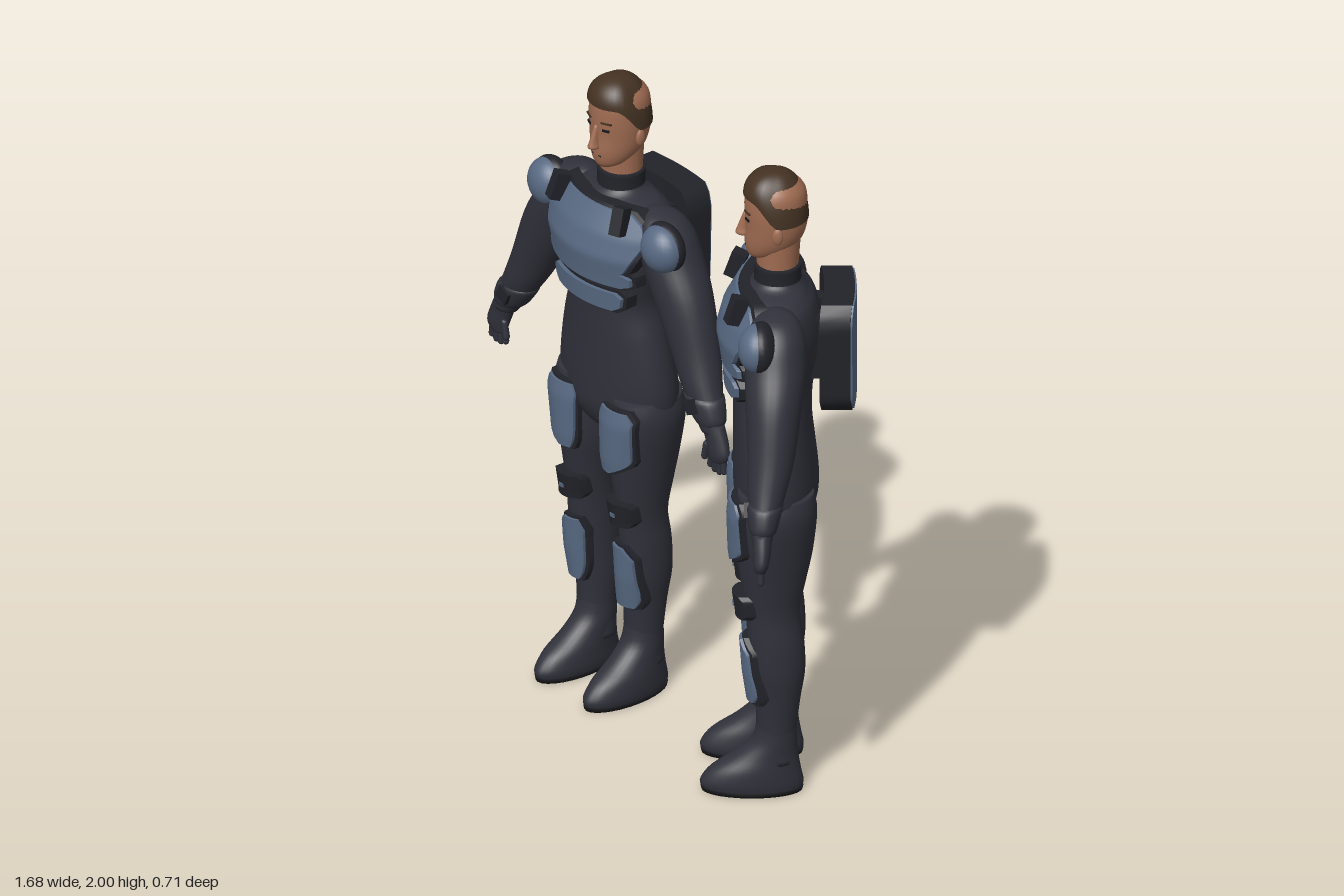
import * as THREE from 'three';
import { toCreasedNormals, mergeVertices } from 'three/addons/utils/BufferGeometryUtils.js';

const mat = (name, color) => Object.assign(new THREE.MeshStandardMaterial({ color }), { name });
const suit = mat('charcoal suit', 0x30313a);
const trim = mat('dark trim', 0x222329);
const armor = mat('blue grey armor', 0x586982);
const skin = mat('skin', 0xa06c52);
const hair = mat('brown hair', 0x443223);
const black = mat('black', 0x17171a);

const add = (parent, name, geo, m, x = 0, y = 0, z = 0) => {
  const mesh = new THREE.Mesh(geo, m);
  mesh.name = name;
  mesh.position.set(x, y, z);
  parent.add(mesh);
  return mesh;
};

function makeGeometry(pos, idx) {
  const g = new THREE.BufferGeometry();
  g.setAttribute('position', new THREE.Float32BufferAttribute(pos, 3));
  g.setIndex(idx);
  g.computeVertexNormals();
  return g;
}

// Smooth body from horizontal oval sections [x, y, z, rx, rz], listed bottom to top
function loft(rows, side = 1, seg = 28, sub = 4) {
  const rings = [];
  for (let i = 0; i < rows.length - 1; i++) {
    const [a, b, c, d] = [i - 1, i, i + 1, i + 2].map(k => rows[Math.min(Math.max(k, 0), rows.length - 1)]);
    for (let s = 0; s < sub; s++) {
      const t = s / sub;
      rings.push(b.map((_, k) => b[k] + 0.5 * t * (c[k] - a[k] + t * (2 * a[k] - 5 * b[k] + 4 * c[k] - d[k]
        + t * (3 * (b[k] - c[k]) + d[k] - a[k])))));
    }
  }
  rings.push(rows[rows.length - 1]);
  const cap = r => [r[0], r[1], r[2], 0, 0];
  const all = [cap(rings[0]), ...rings, cap(rings[rings.length - 1])];
  const pos = [], idx = [];
  all.forEach(([x, y, z, rx, rz], j) => {
    for (let i = 0; i < seg; i++) {
      const a = i / seg * Math.PI * 2;
      pos.push(side * x + rx * Math.sin(a), y, z + rz * Math.cos(a));
      if (j === all.length - 1) continue;
      const p = j * seg + i, q = j * seg + (i + 1) % seg;
      idx.push(p, q, q + seg, p, q + seg, p + seg);
    }
  });
  return makeGeometry(pos, idx);
}

// Linear lookup in rows keyed by column k
function sample(rows, y, k) {
  let i = 0;
  while (i < rows.length - 2 && rows[i + 1][k] < y) i++;
  const t = THREE.MathUtils.clamp((y - rows[i][k]) / (rows[i + 1][k] - rows[i][k]), 0, 1);
  return rows[i].map((v, n) => v + (rows[i + 1][n] - v) * t);
}

// Curved armor plate: rows [y, x0, x1] bottom to top, laid on the surface zAt(x, y)
function plate(rows, zAt, thick, grow = 0, side = 1) {
  const nu = 14, nv = 16, pos = [], idx = [];
  const lo = rows[0][0], hi = rows[rows.length - 1][0];
  const mid = (lo + hi) / 2, stretch = 1 + 2 * grow / (hi - lo);
  for (const back of [false, true]) {
    const base = pos.length / 3;
    for (let j = -1; j <= nv + 1; j++) for (let i = -1; i <= nu + 1; i++) {
      const v = Math.min(Math.max(j, 0), nv) / nv, u = Math.min(Math.max(i, 0), nu) / nu;
      const y0 = lo + (hi - lo) * v, r = sample(rows, y0, 0);
      const x = r[1] - grow + (r[2] - r[1] + 2 * grow) * (side > 0 ? u : 1 - u);
      const border = back || i < 0 || j < 0 || i > nu || j > nv;
      pos.push(side * x, mid + (y0 - mid) * stretch, zAt(x, y0) - (border ? thick : 0));
      if (i > nu || j > nv) continue;
      const w = nu + 3, p = base + (j + 1) * w + i + 1;
      if (back) idx.push(p, p + w + 1, p + 1, p, p + w, p + w + 1);
      else idx.push(p, p + 1, p + w + 1, p, p + w + 1, p + w);
    }
  }
  return toCreasedNormals(makeGeometry(pos, idx), 0.7);
}

const TORSO = [[0, .84, -.04, .03, .04], [0, .87, -.04, .11, .09], [0, .93, -.04, .205, .12], [0, 1, -.04, .226, .125],
  [0, 1.1, -.035, .215, .12], [0, 1.2, -.03, .192, .115], [0, 1.3, -.03, .166, .118], [0, 1.4, -.03, .19, .138],
  [0, 1.5, -.035, .212, .14], [0, 1.58, -.04, .2, .118], [0, 1.615, -.042, .15, .092], [0, 1.635, -.045, .085, .075], [0, 1.66, -.045, .065, .06]];
const LEG = [[.108, .1, -.035, .06, .066], [.108, .18, -.04, .056, .058], [.11, .3, -.045, .062, .066], [.117, .4, -.045, .067, .08],
  [.118, .5, -.04, .068, .082], [.116, .6, -.03, .066, .08], [.115, .7, -.032, .08, .096], [.112, .8, -.036, .1, .112],
  [.118, .93, -.04, .114, .12], [.118, 1, -.04, .1, .11]];
const ARM = [[.475, 1.03, 0, .04, .03], [.45, 1.08, -.004, .056, .04], [.405, 1.16, -.015, .07, .058], [.362, 1.25, -.027, .082, .07],
  [.292, 1.4, -.035, .102, .084], [.238, 1.5, -.04, .1, .09], [.213, 1.57, -.04, .085, .082], [.19, 1.612, -.04, .06, .055], [.17, 1.628, -.04, .012, .012]];
const HAND = [[.503, .945, .004, .034, .018], [.508, .97, .003, .042, .024], [.495, 1.01, 0, .043, .027], [.474, 1.06, 0, .04, .03]];
const BOOT = [[.112, .012, .03, .064, .148], [.112, .035, .03, .067, .15], [.112, .075, .018, .065, .13],
  [.11, .12, -.012, .06, .093], [.108, .17, -.036, .058, .066], [.108, .23, -.042, .056, .058]];
const HEAD = [[0, 1.718, .005, .025, .03], [0, 1.735, -.008, .052, .054], [0, 1.77, -.028, .073, .08], [0, 1.82, -.04, .085, .09],
  [0, 1.88, -.04, .089, .092], [0, 1.94, -.04, .083, .086], [0, 1.98, -.04, .05, .05]];

const CHEST = [[1.425, -.14, .14], [1.445, -.165, .165], [1.48, -.185, .185], [1.54, -.212, .212], [1.59, -.195, .195], [1.62, -.15, .15]];
const RIBS = [[1.39, -.15, .15], [1.4, -.18, .18], [1.425, -.18, .18], [1.435, -.16, .16]];
const BELLY = [[1.305, -.12, .12], [1.32, -.145, .145], [1.35, -.15, .15], [1.365, -.13, .13]];
const THIGH = [[.765, .075, .115], [.785, .066, .152], [.81, .062, .183], [.95, .058, .19], [.975, .072, .172]];
const KNEE = [[.585, .068, .16], [.6, .06, .17], [.65, .06, .17], [.662, .068, .16]];
const SHIN = [[.305, .088, .152], [.325, .078, .163], [.36, .072, .165], [.47, .071, .16], [.508, .084, .132]];
const PACK = [[1.262, -.115, .115], [1.3, -.148, .148], [1.55, -.155, .155], [1.595, -.14, .14], [1.612, -.12, .12]];

const chestCurve = [[1.3, .112], [1.36, .117], [1.42, .125], [1.48, .135], [1.55, .117], [1.63, .072]];
const chestZ = off => (x, y) => sample(chestCurve, y, 0)[1] - 1.6 * x * x + off;
const legZ = off => (x, y) => {
  const [cx, , cz, rx, rz] = sample(LEG, y, 1);
  return cz + rz * Math.sqrt(1 - Math.min(.9, Math.abs(x - cx) / rx) ** 2) + off;
};

function addHead(f) {
  const head = new THREE.Group();
  head.name = 'head';
  f.add(head);
  add(head, 'neck', loft([[0, 1.62, -.045, .066, .062], [0, 1.7, -.045, .066, .062], [0, 1.79, -.045, .068, .068]]), skin);
  add(head, 'face', loft(HEAD), skin);
  // Hair cap with a higher hairline at the front
  const cap = new THREE.SphereGeometry(1, 36, 14, 0, Math.PI * 2, 0, Math.PI / 2);
  const p = cap.attributes.position;
  for (let i = 0; i < p.count; i++) {
    const v = new THREE.Vector3().fromBufferAttribute(p, i), r = Math.hypot(v.x, v.z) || 1;
    const edge = 1.848 + .075 * THREE.MathUtils.smoothstep(v.z / r, -.1, .75);
    const k = .096 * r ** .85 / r;
    p.setXYZ(i, v.x * k, edge + (2 - edge) * v.y, -.04 + v.z * k);
  }
  cap.deleteAttribute('uv');
  cap.deleteAttribute('normal');
  const hairCap = mergeVertices(cap);
  hairCap.computeVertexNormals();
  add(head, 'hair', hairCap, hair);
  add(head, 'nose', loft([[0, 1.782, .05, .008, .01], [0, 1.79, .056, .016, .022], [0, 1.81, .055, .011, .018], [0, 1.86, .046, .007, .008]], 1, 12), skin);
  add(head, 'mouth', new THREE.BoxGeometry(.042, .004, .008), trim, 0, 1.762, .046);
  for (const s of [-1, 1]) {
    add(head, 'ear', new THREE.SphereGeometry(1, 14, 10), skin, s * .089, 1.822, -.045).scale.set(.009, .027, .016);
    add(head, 'eye', new THREE.BoxGeometry(.022, .007, .008), black, s * .037, 1.852, .042).rotation.y = s * .4;
    add(head, 'eyebrow', new THREE.BoxGeometry(.034, .005, .009), hair, s * .038, 1.876, .042).rotation.y = s * .4;
  }
}

function addLimbs(f, s) {
  add(f, 'arm', loft(ARM, s), suit);
  add(f, 'hand', loft(HAND, s, 16), suit);
  add(f, 'gloveCuff', loft([[.462, 1.055, -.003, .05, .04], [.452, 1.075, -.004, .063, .046], [.428, 1.12, -.008, .071, .054], [.42, 1.133, -.01, .064, .05]], s, 20), suit);
  add(f, 'wristDevice', new THREE.BoxGeometry(.045, .045, .02), trim, s * .432, 1.105, .042).rotation.z = s * .45;
  // Fingers and thumb
  for (let i = 0; i < 4; i++) {
    const finger = add(f, 'finger', new THREE.CapsuleGeometry(.0105, .036, 3, 8), suit, s * (.532 - i * .019), .937 - (i % 3 ? .008 : 0), .004);
    finger.rotation.z = s * (.12 - i * .1);
  }
  add(f, 'thumb', new THREE.CapsuleGeometry(.011, .045, 3, 8), suit, s * .462, .965, .014).rotation.z = s * -.2;
  // Shoulder pad
  add(f, 'shoulderPadRim', new THREE.SphereGeometry(1, 24, 16), trim, s * .257, 1.545, .002).scale.set(.08, .081, .048);
  add(f, 'shoulderPad', new THREE.SphereGeometry(1, 24, 16), armor, s * .261, 1.547, .012).scale.set(.074, .075, .059);
  // Leg and boot
  add(f, 'leg', loft(LEG, s), suit);
  add(f, 'boot', loft(BOOT, s), suit);
  add(f, 'sole', loft([[.112, 0, .03, .063, .147], [.112, .014, .03, .066, .15]], s, 28, 1), black);
  // Leg armor
  for (const [name, rows] of [['thighPlate', THIGH], ['shinPlate', SHIN]]) {
    add(f, name + 'Rim', plate(rows, legZ(.016), .035, .007, s), trim);
    add(f, name, plate(rows, legZ(.025), .02, 0, s), armor);
  }
  add(f, 'kneePad', plate(KNEE, legZ(.03), .045, 0, s), trim);
  add(f, 'kneeMark', plate([[.616, .108, .126], [.628, .108, .126]], legZ(.034), .008, 0, s), armor);
  // Chest strap clip
  const clip = add(f, 'strapClip', new THREE.BoxGeometry(.038, .085, .045), trim, s * .141, 1.608, .075);
  clip.rotation.set(-.35, s * .3, s * .12);
}

function makeFigure() {
  const f = new THREE.Group();
  f.name = 'figure';
  add(f, 'torso', loft(TORSO, 1, 40), suit);
  add(f, 'collar', loft([[0, 1.62, -.045, .08, .077], [0, 1.64, -.045, .073, .07], [0, 1.696, -.045, .072, .069]]), trim);
  addHead(f);
  for (const [name, rows] of [['chestPlate', CHEST], ['ribPlate', RIBS], ['bellyPlate', BELLY]]) {
    add(f, name + 'Rim', plate(rows, chestZ(-.012), .04, .009), trim);
    add(f, name, plate(rows, chestZ(0), .02), armor);
  }
  // Backpack, built facing forward and turned around
  const pack = new THREE.Group();
  pack.name = 'backpack';
  pack.rotation.y = Math.PI;
  f.add(pack);
  const packZ = off => x => .27 - .6 * x * x + off;
  add(pack, 'packBody', plate(PACK, packZ(0), .09), trim);
  add(pack, 'packPanel', plate(PACK, packZ(.005), .008, -.004), armor);
  for (const s of [-1, 1]) {
    add(pack, 'packMount', new THREE.BoxGeometry(.05, .2, .06), trim, s * .06, 1.45, .165);
    addLimbs(f, s);
  }
  return f;
}

export function createModel() {
  const model = new THREE.Group();
  const first = makeFigure();
  first.position.x = -.295;
  const second = first.clone();
  second.position.x = .41;
  second.rotation.y = -.685;
  first.name = 'firstFigure';
  second.name = 'secondFigure';
  model.add(first, second);
  return model;
}
